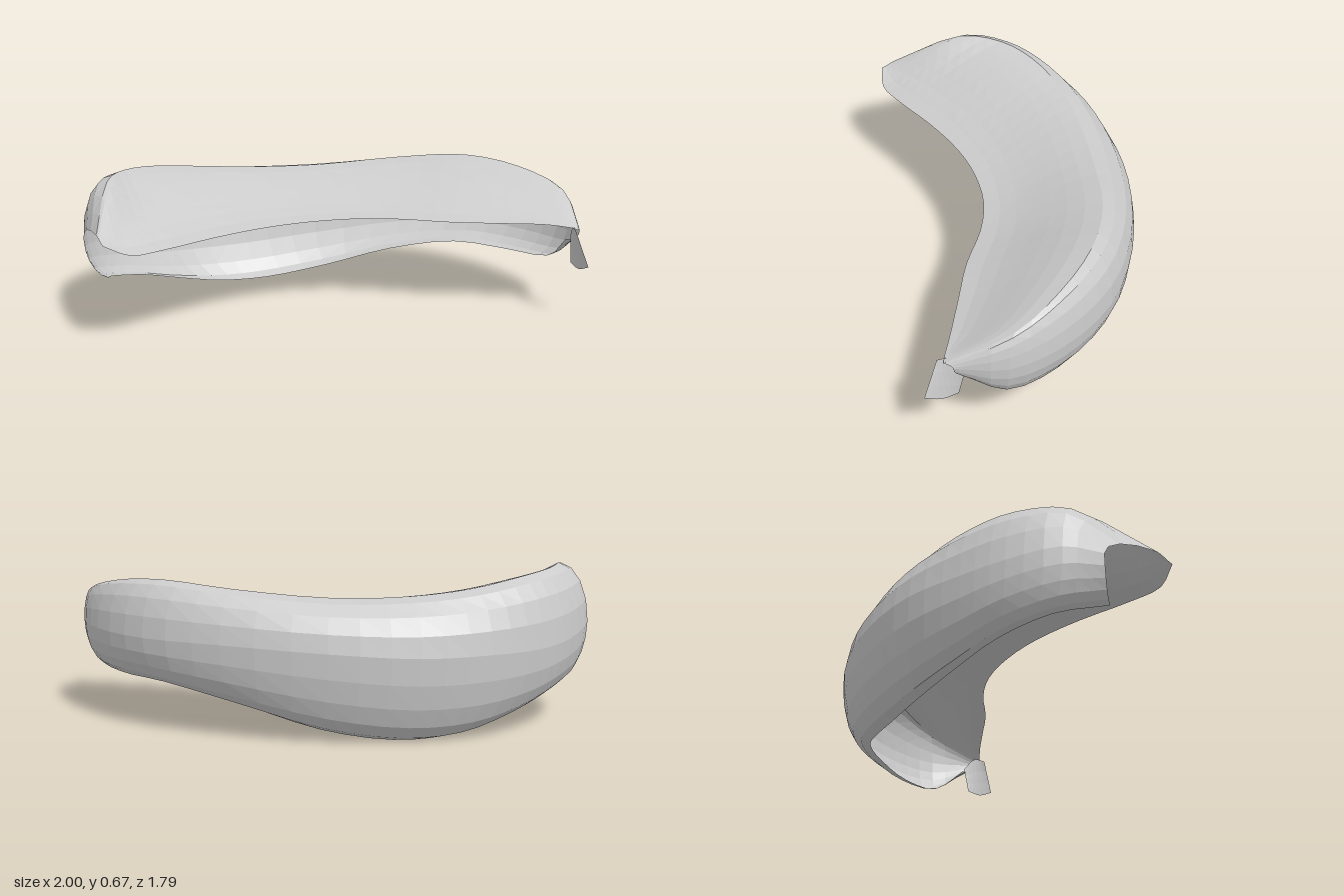
import * as THREE from 'three';

const rail = (pts) => new THREE.CatmullRomCurve3(pts.map((p) => new THREE.Vector3(...p)));

// Lengthwise rails of the shell, all with matching stations
const lip = rail([[-.56, .49, .89], [-.48, .445, .82], [-.42, .44, .68], [-.34, .44, .43],
  [-.24, .44, .2], [-.12, .44, .02], [.03, .44, -.13], [.2, .44, -.23], [.42, .44, -.31],
  [.62, .44, -.41], [.8, .44, -.5], [.9, .43, -.545]]);
const crest = rail([[-.63, .515, .85], [-.8, .66, .58], [-.87, .66, .38], [-.85, .64, .19],
  [-.76, .605, -.02], [-.6, .58, -.22], [-.36, .575, -.44], [-.05, .605, -.67], [.25, .63, -.79],
  [.52, .605, -.81], [.75, .545, -.76], [.93, .42, -.56]]);
const outer = rail([[-.845, .42, .7], [-.95, .42, .57], [-1, .38, .36], [-.985, .36, .17],
  [-.91, .36, -.08], [-.75, .36, -.33], [-.48, .38, -.58], [-.1, .4, -.8], [.25, .4, -.9],
  [.57, .4, -.875], [.8, .4, -.77], [.92, .405, -.6]]);
const bottom = rail([[-.73, .26, .68], [-.87, .19, .5], [-.87, .13, .28], [-.81, .065, .08],
  [-.72, .01, -.12], [-.58, 0, -.3], [-.36, .045, -.5], [-.08, .135, -.66], [.22, .195, -.76],
  [.5, .2, -.77], [.73, .225, -.71], [.85, .35, -.62]]);

// Blend two points with separate weights for plan position and height
const blend = (a, b, flat, up) => new THREE.Vector3(
  THREE.MathUtils.lerp(a.x, b.x, flat),
  THREE.MathUtils.lerp(a.y, b.y, up),
  THREE.MathUtils.lerp(a.z, b.z, flat));

// Cross-section: S-curved top, rounded shoulder, wall curling under
function section(t) {
  const [l, c, o, b] = [lip, crest, outer, bottom].map((r) => r.getPoint(t));
  const row = [];
  for (let k = 0; k < 7; k++) {
    const s = k / 7;
    row.push(blend(l, c, s, 0.4 * s + 0.6 * THREE.MathUtils.smoothstep(s, 0, 1)));
  }
  for (let k = 4; k > 0; k--) {
    const a = (k / 4) * Math.PI / 2;
    row.push(blend(o, c, 1 - Math.cos(a), Math.sin(a)));
  }
  for (let k = 0; k <= 5; k++) {
    const a = (k / 5) * Math.PI / 2;
    row.push(blend(o, b, 1 - Math.cos(a), Math.sin(a)));
  }
  return row;
}

// Skin a list of equally long rows of points
function loft(rows) {
  const n = rows[0].length;
  const index = [];
  for (let i = 0; i < rows.length - 1; i++) {
    for (let j = 0; j < n - 1; j++) {
      const a = i * n + j, b = a + n;
      index.push(a, b, a + 1, b, b + 1, a + 1);
    }
  }
  const geometry = new THREE.BufferGeometry().setFromPoints(rows.flat());
  geometry.setIndex(index);
  geometry.computeVertexNormals();
  return geometry;
}

export function createModel() {
  const group = new THREE.Group();
  group.name = 'curvedShell';
  const material = new THREE.MeshStandardMaterial({
    color: 0xcccccc, flatShading: true, side: THREE.DoubleSide,
  });
  const add = (name, rows) => {
    const mesh = new THREE.Mesh(loft(rows), material);
    mesh.name = name;
    group.add(mesh);
  };

  // Open crescent shell
  const steps = 33;
  add('shell', Array.from({ length: steps + 1 }, (_, i) => section(i / steps)));

  // Small flap hanging from the narrow end
  const top = rail([[.87, .37, -.62], [.9, .43, -.57], [.93, .42, -.53]]);
  const hem = rail([[.885, .25, -.6], [.94, .24, -.56], [1, .27, -.52]]);
  add('endFlap', Array.from({ length: 7 }, (_, i) => {
    const a = top.getPoint(i / 6), b = hem.getPoint(i / 6);
    return [0, 1 / 3, 2 / 3, 1].map((s) => a.clone().lerp(b, s));
  }));

  return group;
}
